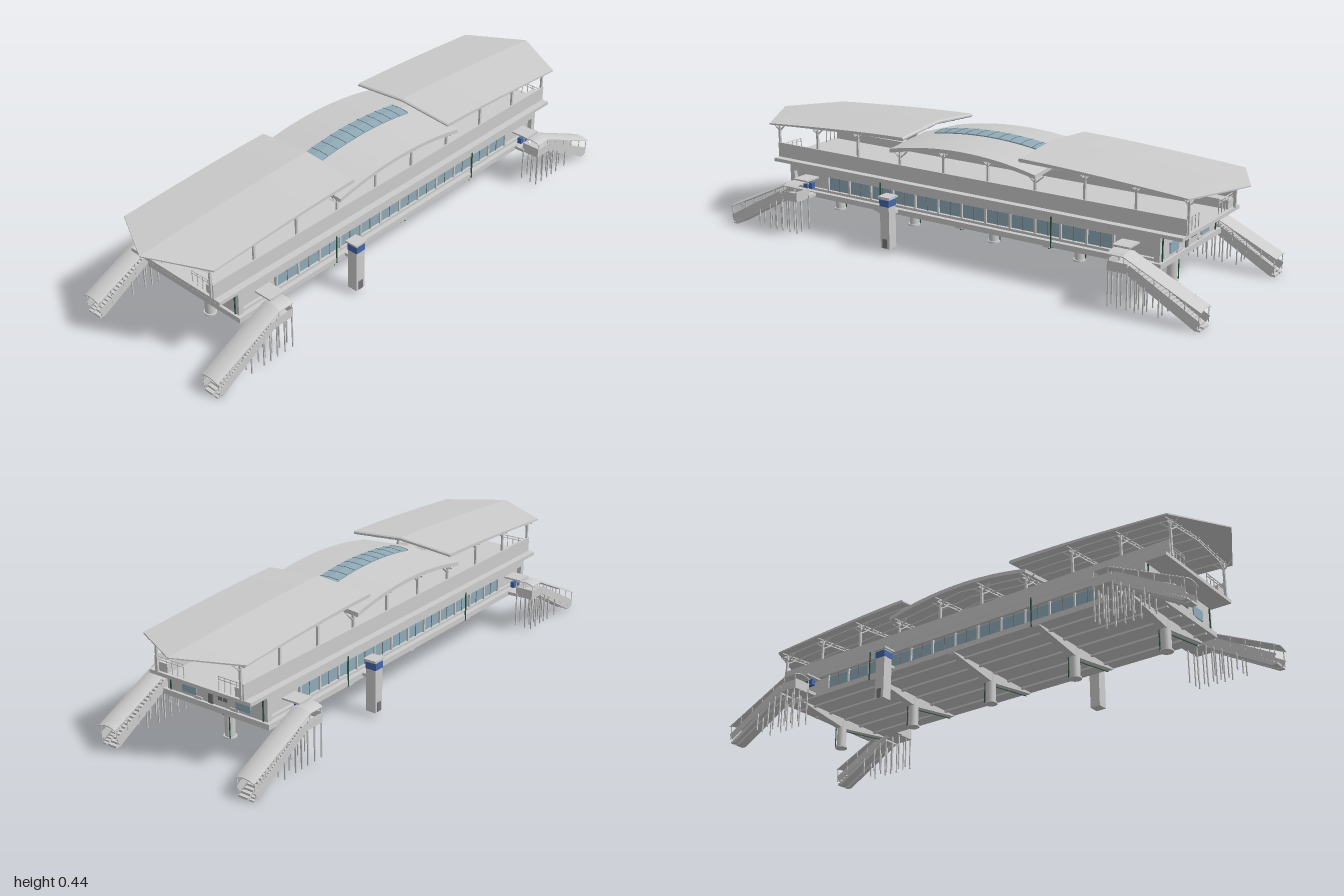
import * as THREE from 'three';

const mat = (color) => new THREE.MeshStandardMaterial({ color });
const GREY = mat(0xcccccc), GLASS = mat(0x8fabb8), BLUE = mat(0x4567a8), GREEN = mat(0x2c5a40), DARK = mat(0x777777);

export function createModel() {
  const root = new THREE.Group();
  let parent = root;
  const SIDES = [1, -1];

  const add = (name, geo, m = GREY) => {
    const mesh = new THREE.Mesh(geo, m);
    mesh.name = name;
    parent.add(mesh);
    return mesh;
  };
  const group = (name) => {
    parent = new THREE.Group();
    parent.name = name;
    root.add(parent);
  };
  // Box given by its extents on each axis, in any order
  const box = (name, xa, xb, ya, yb, za, zb, m) => {
    const mesh = add(name, new THREE.BoxGeometry(Math.abs(xb - xa), Math.abs(yb - ya), Math.abs(zb - za)), m);
    mesh.position.set((xa + xb) / 2, (ya + yb) / 2, (za + zb) / 2);
    return mesh;
  };
  // Straight bar between two points
  const bar = (name, a, b, w = 0.004, h = w, m = GREY) => {
    const p = new THREE.Vector3(...a), q = new THREE.Vector3(...b);
    const mesh = add(name, new THREE.BoxGeometry(w, h, p.distanceTo(q)), m);
    mesh.position.copy(p).add(q).multiplyScalar(0.5);
    mesh.lookAt(q);
    return mesh;
  };
  // Closed sheet along x: each section lists its top points, then its bottom points backwards
  const loft = (name, sections, m) => {
    const n = sections[0].length, pos = [];
    const quad = (a, b, c, d) => pos.push(...a, ...b, ...c, ...a, ...c, ...d);
    for (let i = 0; i < sections.length - 1; i++)
      for (let j = 0; j < n; j++) {
        const k = (j + 1) % n;
        quad(sections[i][j], sections[i][k], sections[i + 1][k], sections[i + 1][j]);
      }
    const s = sections[0], e = sections[sections.length - 1];
    for (let j = 0; j < n / 2 - 1; j++) {
      quad(e[j], e[j + 1], e[n - 2 - j], e[n - 1 - j]);
      quad(s[j + 1], s[j], s[n - 1 - j], s[n - 2 - j]);
    }
    const geo = new THREE.BufferGeometry();
    geo.setAttribute('position', new THREE.Float32BufferAttribute(pos, 3));
    geo.computeVertexNormals();
    return add(name, geo, m);
  };
  const gable = (x, y, w, drop, t) => [[x, y - drop, -w], [x, y, 0], [x, y - drop, w],
    [x, y - drop - t, w], [x, y - t, 0], [x, y - drop - t, -w]];

  // Roof curves
  const outerRidge = (x) => 0.444 - 0.044 * Math.pow(Math.max(0, (x - 0.25) / 0.75), 1.4);
  const midRidge = (x) => 0.428 - 0.035 * (x / 0.31) ** 2;
  const thick = (x) => 0.013 - 0.009 * (x - 0.25) / 0.75;

  // Outer roofs with pointed ends
  group('outerRoofs');
  const outer = [0.245, 0.25, 0.26, 0.36, 0.46, 0.56, 0.66, 0.76, 0.83, 0.885, 1].map((x) => {
    const w = x > 0.99 ? 0.001 : 0.219;
    const lip = x < 0.249 ? 0.004 : 0;
    return gable(x, outerRidge(x) - lip, w, 0.018 * w / 0.219, thick(x) - 2 * lip);
  });
  for (const s of SIDES) loft('outerRoof', outer).rotation.y = s > 0 ? 0 : Math.PI;

  // Lower middle roof with skylight
  group('middleRoof');
  const mid = [], sky = [];
  for (let i = 0; i <= 16; i++) {
    const x = -0.31 + 0.62 * i / 16, xs = -0.235 + 0.47 * i / 16;
    mid.push(gable(x, midRidge(x), 0.215, 0.018, 0.014));
    sky.push(gable(xs, midRidge(xs) + 0.004, 0.04, 0.0033, 0.004));
  }
  loft('roofSheet', mid);
  loft('skylight', sky, GLASS);
  for (let i = 0; i <= 10; i++) {
    const x = -0.235 + 0.047 * i;
    for (const s of SIDES) bar('skylightRib', [x, midRidge(x) + 0.004, 0], [x, midRidge(x) + 0.001, s * 0.04], 0.002, 0.002, DARK);
  }

  // Roof columns, branching brackets, trusses and purlins
  group('roofFrame');
  const underside = (x) => Math.abs(x) < 0.3 ? midRidge(x) - 0.014 : outerRidge(Math.abs(x)) - thick(Math.abs(x));
  for (const sx of SIDES) {
    for (const fx of [0.095, 0.29, 0.485, 0.68, 0.87]) {
      const x = sx * fx, top = underside(x), eave = top - 0.018;
      for (const s of SIDES) {
        box('roofColumn', x - 0.004, x + 0.004, 0.255, eave, s * 0.176, s * 0.184);
        bar('bracket', [x, eave - 0.035, s * 0.18], [x, eave - 0.004, s * 0.135]);
        for (const d of SIDES) bar('branch', [x, eave - 0.03, s * 0.18], [x + d * 0.035, eave, s * 0.18]);
        const up = (z) => top - 0.018 * z / 0.219, low = (z) => top - 0.012 - 0.02 * z / 0.2;
        bar('bottomChord', [x, low(0), 0], [x, low(0.2), s * 0.2]);
        bar('topChord', [x, up(0) - 0.002, 0], [x, up(0.21) - 0.002, s * 0.21]);
        for (let i = 0; i < 8; i++) {
          const z0 = i * 0.025, z1 = z0 + 0.025;
          bar('trussWeb', [x, i % 2 ? up(z0) : low(z0), s * z0], [x, i % 2 ? low(z1) : up(z1), s * z1], 0.0025);
        }
      }
    }
    const stations = [0.26, 0.45, 0.65, 0.88];
    for (const z of [-0.18, -0.12, -0.06, 0, 0.06, 0.12, 0.18]) {
      const drop = 0.018 * Math.abs(z) / 0.219 + 0.003;
      for (let i = 0; i < 3; i++) {
        const [a, b] = [stations[i], stations[i + 1]];
        bar('purlin', [sx * a, outerRidge(a) - thick(a) - drop, z], [sx * b, outerRidge(b) - thick(b) - drop, z]);
      }
      bar('middlePurlin', [0, midRidge(0) - 0.014 - drop, z], [sx * 0.3, midRidge(0.3) - 0.014 - drop, z]);
    }
  }

  // Platform level: deck, platforms, parapets and end railings
  group('platformLevel');
  box('deck', -0.87, 0.87, 0.243, 0.256, -0.218, 0.218);
  for (const s of SIDES) {
    box('platform', -0.86, 0.86, 0.256, 0.288, s * 0.145, s * 0.186);
    box('parapet', -0.87, 0.87, 0.25, 0.312, s * 0.186, s * 0.191);
    for (const e of SIDES) {
      for (const y of [0.294, 0.304]) box('railing', e * 0.855, e * 0.858, y, y + 0.002, s * 0.075, s * 0.186);
      for (const z of [0.075, 0.1, 0.125, 0.15]) box('railingPost', e * 0.855, e * 0.858, 0.256, 0.305, s * z, s * (z + 0.002));
    }
  }

  // Concourse with glazed long sides
  group('concourse');
  box('hall', -0.79, 0.79, 0.155, 0.244, -0.2, 0.2);
  box('floorSlab', -0.8, 0.8, 0.137, 0.157, -0.23, 0.23);
  for (const s of SIDES) {
    box('fascia', -0.79, 0.79, 0.222, 0.244, s * 0.2, s * 0.217);
    box('sill', -0.79, 0.79, 0.156, 0.166, s * 0.2, s * 0.212);
    for (let i = 0; i < 12; i++) {
      const x = -0.61 + i * 0.102;
      box('window', x + 0.004, x + 0.098, 0.168, 0.217, s * 0.2, s * 0.205, GLASS);
      box('mullion', x + 0.05, x + 0.052, 0.166, 0.222, s * 0.2, s * 0.207, DARK);
    }
    for (let i = 0; i <= 12; i++) box('pilaster', -0.614 + i * 0.102, -0.607 + i * 0.102, 0.156, 0.222, s * 0.2, s * 0.211);
    for (const e of SIDES) box('cornerPier', e * 0.77, e * 0.79, 0.156, 0.244, s * 0.2, s * 0.217);
    for (const x of [-0.345, 0.385]) box('downpipe', x - 0.002, x + 0.002, 0.135, 0.246, s * 0.228, s * 0.232, GREEN);
  }
  // End walls: sign, windows, door and panels
  for (const e of SIDES) {
    const panel = (name, y0, y1, z0, z1, m) => box(name, e * 0.789, e * 0.794, y0, y1, e * z0, e * z1, m);
    panel('endSign', 0.201, 0.231, -0.054, 0.054, BLUE);
    for (const s of SIDES) {
      panel('endWindow', 0.168, 0.207, s * 0.085, s * 0.148, GLASS);
      panel('endLedge', 0.157, 0.167, s * 0.062, s * 0.096);
      panel('drainpipe', 0.157, 0.24, s * 0.199, s * 0.203, GREEN);
    }
    panel('endDoor', 0.157, 0.192, 0.013, 0.033, DARK);
    panel('ventPanel', 0.18, 0.195, -0.01, -0.028, DARK);
    panel('ventPanel', 0.18, 0.195, -0.033, -0.05, DARK);
  }

  // Tapered crossbeams, piers, longitudinal girders
  group('substructure');
  const taper = new THREE.Shape([[-0.228, 0.14], [-0.228, 0.132], [-0.02, 0.1], [0.02, 0.1], [0.228, 0.132], [0.228, 0.14]]
    .map(([z, y]) => new THREE.Vector2(z, y)));
  for (const x of [-0.73, -0.365, 0, 0.365, 0.73]) {
    const beam = add('crossbeam', new THREE.ExtrudeGeometry(taper, { depth: 0.026, bevelEnabled: false }));
    beam.rotation.y = Math.PI / 2;
    beam.position.x = x - 0.013;
    add('pier', new THREE.CylinderGeometry(0.018, 0.018, 0.11, 20)).position.set(x, 0.075, 0);
    add('pierBase', new THREE.CylinderGeometry(0.023, 0.023, 0.006, 20)).position.set(x, 0.021, 0);
    bar('drain', [x + 0.01, 0.131, 0.23], [x + 0.01, 0.098, 0.016], 0.003, 0.003, GREEN);
    box('drainDrop', x + 0.016, x + 0.019, 0.022, 0.1, -0.016, -0.013, GREEN);
  }
  for (const z of [-0.17, -0.085, 0, 0.085, 0.17]) box('girder', -0.79, 0.79, 0.13, 0.138, z - 0.005, z + 0.005);

  // Lift shafts, one on each long side
  group('lifts');
  for (const s of SIDES) {
    const x = -s * 0.285;
    box('shaft', x - 0.02, x + 0.02, 0.018, 0.207, s * 0.245, s * 0.285);
    box('shaftRoof', x - 0.026, x + 0.026, 0.208, 0.215, s * 0.238, s * 0.29);
    box('liftBridge', x - 0.02, x + 0.02, 0.145, 0.157, s * 0.2, s * 0.25);
    box('liftDoor', x - 0.01, x + 0.01, 0.02, 0.055, s * 0.284, s * 0.287, DARK);
    box('liftSign', x - 0.021, x + 0.021, 0.178, 0.203, s * 0.243, s * 0.287, BLUE);
  }

  // Four entrances with stairs, escalator and barrel canopy
  const slopeY = (x) => 0.152 - 0.142 * (x - 0.735) / 0.26;
  const canopyY = (x) => x < 0.72 ? 0.199 : 0.199 - 0.131 * (x - 0.72) / 0.28;
  for (const sx of SIDES) for (const sz of SIDES) {
    group('entrance');
    box('bridgeFloor', sx * 0.655, sx * 0.71, 0.142, 0.154, sz * 0.2, sz * 0.27);
    box('bridgeCanopy', sx * 0.65, sx * 0.715, 0.209, 0.215, sz * 0.215, sz * 0.285);
    box('entranceSign', sx * 0.648, sx * 0.69, 0.178, 0.2, sz * 0.243, sz * 0.26, BLUE);
    box('landing', sx * 0.66, sx * 0.74, 0.142, 0.154, sz * 0.262, sz * 0.334);
    box('landingWall', sx * 0.66, sx * 0.663, 0.154, 0.18, sz * 0.262, sz * 0.334);
    for (const z of [0.262, 0.334]) {
      if (z > 0.3) box('landingRail', sx * 0.66, sx * 0.735, 0.154, 0.176, sz * (z - 0.002), sz * z);
      bar('balustrade', [sx * 0.735, slopeY(0.735) + 0.01, sz * z], [sx * 0.99, slopeY(0.99) + 0.01, sz * z], 0.002, 0.028);
      for (const x of [0.664, 0.72, 0.775, 0.83, 0.885, 0.94, 0.99])
        box('canopyPost', sx * x, sx * (x + 0.003), x < 0.735 ? 0.15 : slopeY(x), canopyY(x), sz * z, sz * (z - 0.002));
    }
    // Sawtooth flights
    for (const [name, z0, z1, n] of [['stairs', 0.267, 0.303, 20], ['escalator', 0.31, 0.328, 26]]) {
      const pts = [[0.735, 0.135], [0.735, 0.154]];
      for (let i = 0; i < n; i++) {
        const x = 0.735 + 0.26 * (i + 1) / n, y = 0.154 * (1 - i / n);
        pts.push([x, y], [x, y - 0.154 / n]);
      }
      pts.push([0.975, 0]);
      const flight = add(name, new THREE.ExtrudeGeometry(
        new THREE.Shape(pts.map(([x, y]) => new THREE.Vector2(sx * x, y))), { depth: z1 - z0, bevelEnabled: false }));
      flight.position.z = sz > 0 ? z0 : -z1;
    }
    // Support legs
    for (const x of [0.665, 0.7, 0.735, 0.765, 0.795, 0.85])
      for (const z of [0.264, 0.306, 0.333])
        box('leg', sx * (x - 0.002), sx * (x + 0.002), 0.018, x < 0.74 ? 0.145 : slopeY(x), sz * (z - 0.002), sz * (z + 0.002));
    // Arched canopy sheet
    const sections = [0.66, 0.72, 1].map((x) => {
      const arc = (off) => Array.from({ length: 9 }, (_, i) => {
        const t = i / 4 - 1;
        return [sx * x, canopyY(x) + 0.009 * (1 - t * t) - off, sz * 0.2985 + t * 0.0375];
      });
      return [...arc(0), ...arc(0.003).reverse()];
    });
    loft('canopy', sx > 0 ? sections : sections.reverse());
  }
  return root;
}
